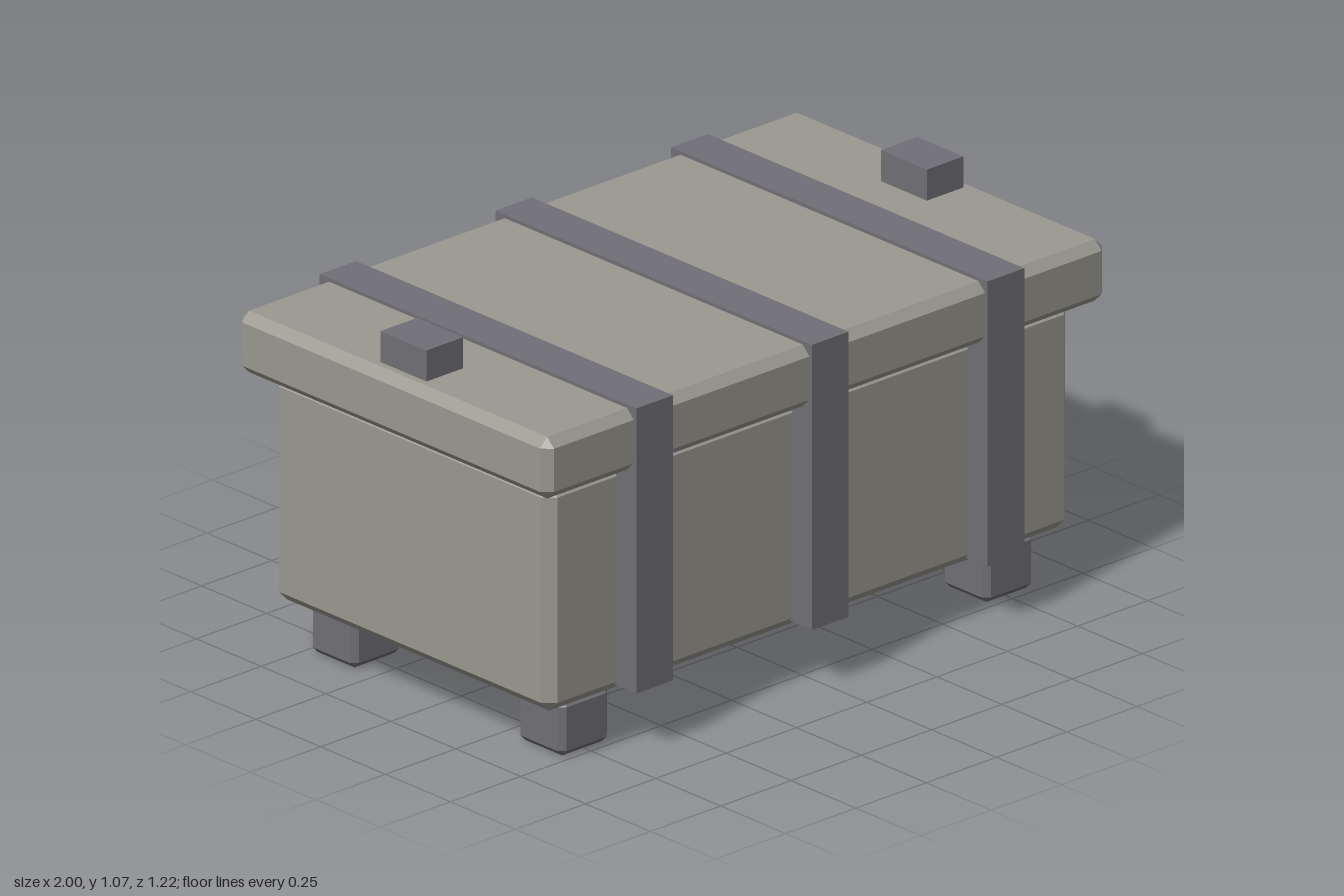
import * as THREE from 'three';
import { ConvexGeometry } from 'three/addons/geometries/ConvexGeometry.js';

const stone = new THREE.MeshStandardMaterial({ color: 0x9a988f });
stone.name = 'warm grey stone';
const iron = new THREE.MeshStandardMaterial({ color: 0x706f75 });
iron.name = 'dark grey iron';

// Box with every edge cut at 45 degrees: three corner points per corner
function chamferedBox(w, h, d, c) {
  const points = [];
  for (const sx of [-1, 1]) for (const sy of [-1, 1]) for (const sz of [-1, 1]) {
    const x = w / 2, y = h / 2, z = d / 2;
    points.push(
      new THREE.Vector3(sx * x, sy * (y - c), sz * (z - c)),
      new THREE.Vector3(sx * (x - c), sy * y, sz * (z - c)),
      new THREE.Vector3(sx * (x - c), sy * (y - c), sz * z)
    );
  }
  return new ConvexGeometry(points);
}

export function createModel() {
  const group = new THREE.Group();
  group.name = 'chest';

  function add(name, geometry, material, x, y, z) {
    const mesh = new THREE.Mesh(geometry, material);
    mesh.name = name;
    mesh.position.set(x, y, z);
    group.add(mesh);
  }

  // Main body and overhanging lid
  add('body', chamferedBox(1.866, 0.645, 1.07, 0.031), stone, 0, 0.4825, 0);
  add('lid', chamferedBox(2, 0.175, 1.2, 0.026), stone, 0, 0.8925, 0);

  // Bands running around the front, top and back
  const strap = new THREE.BoxGeometry(0.13, 0.81, 1.22);
  for (const x of [-0.625, 0, 0.625]) add('strap', strap, iron, x, 0.585, 0);

  // Corner feet
  const foot = chamferedBox(0.177, 0.16, 0.177, 0.018);
  for (const x of [-0.755, 0.755]) {
    for (const z of [-0.4, 0.4]) add('foot', foot, iron, x, 0.08, z);
  }

  // Grip blocks on the lid ends
  const grip = new THREE.BoxGeometry(0.13, 0.1, 0.177);
  for (const x of [-0.89, 0.89]) add('grip', grip, iron, x, 1.018, 0);

  return group;
}
